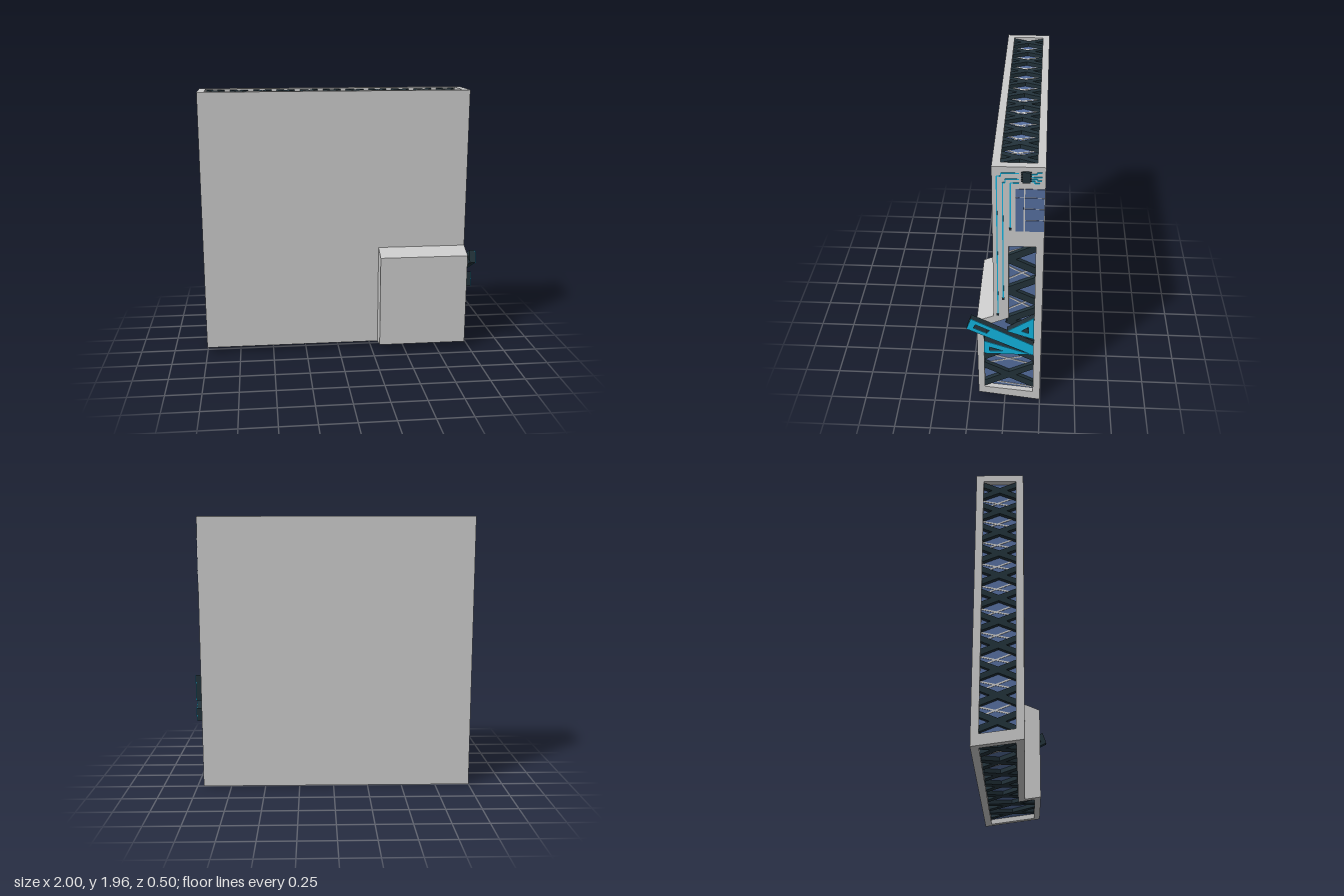
import * as THREE from 'three';

const mat = (color) => new THREE.MeshStandardMaterial({ color, flatShading: true });
const GREY = mat(0xcccccc), BLUE = mat(0x566fa0), DARK = mat(0x22323a), CYAN = mat(0x12b4e0);
const DEPTH = 0.05;   // depth of the recesses
const SLOPE = 0.138;  // rise of the underside towards the front

// Each face has its own plane: u and v run along it, w points outward.
const V = (x, y, z) => new THREE.Vector3(x, y, z);
const plane = (u, v, w, o) => new THREE.Matrix4().makeBasis(u, v, w).setPosition(o);
const RIGHT = plane(V(0, 0, -1), V(0, 1, 0), V(1, 0, 0), V(0.955, 0, 0));
const LEFT = plane(V(0, 0, 1), V(0, 1, 0), V(-1, 0, 0), V(-1, 0, 0));
const TOP = plane(V(1, 0, 0), V(0, 0, -1), V(0, 1, 0), V(0, 1.96, 0));
const BOTTOM = plane(V(1, 0, 0), V(0, SLOPE, 1), V(0, -1, 0), V(0, SLOPE * 0.25, 0));

const toShape = (pts) => new THREE.Shape(pts.map(([a, b]) => new THREE.Vector2(a, b)));
const rect = (u0, v0, u1, v1) => [[u0, v0], [u1, v0], [u1, v1], [u0, v1]];

// Extrudes an outline between w0 and w1 on a face
function slab(parent, name, face, pts, w0, w1, material, hole) {
  const shape = toShape(pts);
  if (hole) shape.holes.push(toShape(hole));
  const geo = new THREE.ExtrudeGeometry(shape, { depth: w1 - w0, bevelEnabled: false });
  geo.translate(0, 0, w0).applyMatrix4(face);
  const mesh = new THREE.Mesh(geo, material);
  mesh.name = name;
  parent.add(mesh);
  return mesh;
}

// Straight bar between two points on a face
function bar(parent, name, face, [a, b], [c, d], width, w0, w1, material) {
  const len = Math.hypot(c - a, d - b);
  const nx = -(d - b) / len * width / 2, ny = (c - a) / len * width / 2;
  slab(parent, name, face,
    [[a - nx, b - ny], [c - nx, d - ny], [c + nx, d + ny], [a + nx, b + ny]], w0, w1, material);
}

// Crossed dark braces
function cross(parent, face, u, v, hu, hv, width) {
  for (const s of [-1, 1])
    bar(parent, 'crossBrace', face, [u - hu, v - s * hv], [u + hu, v + s * hv], width, -0.036, -0.008, DARK);
}

// Thin pale seams between the blue plates
function seam(parent, face, p, q) {
  bar(parent, 'plateSeam', face, p, q, 0.01, -0.04, -0.034, GREY);
}

// Frame with an opening and a blue floor
function recess(root, name, face, outer, hole) {
  const g = new THREE.Group();
  g.name = name;
  slab(g, 'frame', face, outer, -DEPTH, 0, GREY, hole);
  slab(g, 'floorPlate', face, hole, -DEPTH, -0.037, BLUE);
  root.add(g);
  return g;
}

export function createModel() {
  const root = new THREE.Group();
  root.name = 'wallBlock';
  const under = (z) => SLOPE * (z + 0.25);

  // Solid core and the raised block at the front corner
  slab(root, 'core', RIGHT, [[-0.07, under(0.07) + DEPTH], [0.25, DEPTH], [0.25, 1.91], [-0.07, 1.91]],
    -1.905, -DEPTH, GREY);
  slab(root, 'cornerBlock', RIGHT,
    [[-0.185, under(0.185) + DEPTH], [-0.07, under(0.07) + DEPTH], [-0.07, 0.795], [-0.185, 0.745]],
    -0.655, -DEPTH, GREY);

  // Top recess
  const top = recess(root, 'topRecess', TOP, rect(-1, -0.07, 0.955, 0.25), rect(-0.95, -0.02, 0.905, 0.2));
  for (let i = 0; i < 11; i++) {
    const u = -0.88 + 0.171 * i;
    cross(top, TOP, u, 0.09, 0.05, 0.12, 0.038);
    if (i < 10) {
      seam(top, TOP, [u + 0.04, -0.02], [u + 0.13, 0.2]);
      seam(top, TOP, [u + 0.1, -0.02], [u + 0.05, 0.2]);
    }
  }

  // Left recess
  const left = recess(root, 'leftRecess', LEFT,
    [[-0.25, 0], [0.07, under(0.07)], [0.07, 1.96], [-0.25, 1.96]],
    [[-0.2, 0.08], [0.02, 0.11], [0.02, 1.91], [-0.2, 1.91]]);
  for (let i = 0; i < 11; i++) {
    const v = 0.16 + 0.168 * i;
    cross(left, LEFT, -0.09, v, 0.12, 0.05, 0.038);
    if (i < 10) {
      seam(left, LEFT, [-0.2, v + 0.04], [0.02, v + 0.13]);
      seam(left, LEFT, [-0.2, v + 0.1], [0.02, v + 0.05]);
    }
  }

  // Underside recess, widening below the corner block
  const bottom = recess(root, 'bottomRecess', BOTTOM,
    [[-1, -0.25], [0.955, -0.25], [0.955, 0.185], [0.3, 0.185], [0.3, 0.07], [-1, 0.07]],
    [[-0.95, -0.2], [0.905, -0.2], [0.905, 0.14], [0.35, 0.14], [0.35, 0.02], [-0.95, 0.02]]);
  for (let i = 0; i < 7; i++) {
    const u = -0.86 + 0.257 * i, wide = i > 4;
    cross(bottom, BOTTOM, u, wide ? -0.03 : -0.09, 0.08, wide ? 0.18 : 0.12, 0.05);
    seam(bottom, BOTTOM, [u + 0.07, -0.2], [u + 0.17, wide ? 0.14 : 0.02]);
    seam(bottom, BOTTOM, [u + 0.17, -0.2], [u + 0.07, wide ? 0.14 : 0.02]);
  }

  // Right recess, wide below and narrow above
  const right = recess(root, 'rightRecess', RIGHT,
    [[-0.185, under(0.185)], [0.25, 0], [0.25, 1.96], [-0.07, 1.96], [-0.07, 0.795], [-0.185, 0.745]],
    [[-0.14, 0.115], [0.2, 0.078], [0.2, 1.38], [0.03, 1.38], [0.03, 0.78], [-0.14, 0.7]]);
  for (let i = 0; i < 5; i++) {
    const v = 0.235 + 0.259 * i;
    if (i < 2) {
      cross(right, RIGHT, 0.03, v, 0.18, 0.095, 0.05);
      for (const s of [-1, 1]) seam(right, RIGHT, [-0.14, v + 0.13 - s * 0.05], [0.2, v + 0.13 + s * 0.05]);
    } else {
      for (const s of [-1, 1]) {
        bar(right, 'crossBrace', RIGHT, [0.02, v], [0.21, v + s * 0.095], 0.05, -0.036, -0.008, DARK);
        if (i < 4) seam(right, RIGHT, [0.03, v + 0.13 - s * 0.05], [0.2, v + 0.13 + s * 0.05]);
      }
    }
  }
  seam(right, RIGHT, [0.03, 1.31], [0.2, 1.37]);
  seam(right, RIGHT, [-0.14, 0.15], [0.2, 0.09]);

  // Blue cell panel
  const cells = new THREE.Group();
  cells.name = 'cellPanel';
  root.add(cells);
  const rows = [1.5, 1.588, 1.672, 1.752, 1.815];
  for (let i = 0; i < 4; i++)
    slab(cells, 'cell', RIGHT, rect(0.13, rows[i], 0.246, rows[i + 1] - 0.006), 0, 0.004, BLUE);
  for (const [a, b] of [[1.5, 1.746], [1.752, 1.809]])
    slab(cells, 'cell', RIGHT, rect(0.073, a, 0.122, b), 0, 0.004, BLUE);

  // Chip with its pins and traces
  const circuit = new THREE.Group();
  circuit.name = 'circuit';
  root.add(circuit);
  slab(circuit, 'chip', RIGHT, rect(0.113, 1.855, 0.16, 1.93), 0, 0.012, DARK);
  for (let i = 0; i < 6; i++)
    slab(circuit, 'pin', RIGHT, rect(0.105, 1.862 + i * 0.012, 0.168, 1.867 + i * 0.012), 0, 0.005, DARK);
  const traces = [
    [[0.093, 1.917], [-0.016, 1.917], [-0.016, 1.896], [-0.041, 1.896], [-0.041, 0.81]],
    [[0.093, 1.876], [0.01, 1.876], [0.01, 1.85], [-0.005, 1.85], [-0.005, 0.95]],
    [[0.093, 1.85], [0.041, 1.85], [0.041, 1.515]],
    [[0.165, 1.912], [0.2, 1.912], [0.2, 1.922], [0.228, 1.922]],
    [[0.165, 1.892], [0.228, 1.892]],
    [[0.165, 1.877], [0.2, 1.877], [0.2, 1.867], [0.228, 1.867]],
    [[0.165, 1.862], [0.185, 1.862], [0.185, 1.85], [0.215, 1.85]],
  ];
  traces.forEach((path, n) => {
    for (let i = 1; i < path.length; i++)
      bar(circuit, 'trace', RIGHT, path[i - 1], path[i], 0.007, 0, 0.004, CYAN);
    const [u, v] = path[path.length - 1];
    if (n < 3) slab(circuit, 'tracePad', RIGHT, rect(u - 0.008, v - 0.008, u + 0.008, v + 0.008), 0, 0.006, DARK);
  });

  // Plain angled brace standing off the right side
  const brace = new THREE.Group();
  brace.name = 'sideBrace';
  root.add(brace);
  const plates = [
    [[[-0.25, 0.71], [0.2, 0.485], [0.2, 0.575], [-0.22, 0.8]],
      [[-0.205, 0.72], [-0.115, 0.675], [-0.095, 0.7], [-0.19, 0.75]]],
    [[[0.02, 0.7], [0.2, 0.635], [0.2, 0.825]], [[0.115, 0.705], [0.165, 0.685], [0.165, 0.745]]],
    [[[-0.135, 0.49], [0.19, 0.49], [-0.135, 0.605]], [[-0.1, 0.515], [0.0, 0.515], [-0.1, 0.55]]],
  ];
  for (const [outline, hole] of plates) {
    slab(brace, 'braceBody', RIGHT, outline, 0, 0.041, DARK, hole);
    slab(brace, 'braceFace', RIGHT, outline, 0.041, 0.045, CYAN, hole);
  }
  return root;
}
